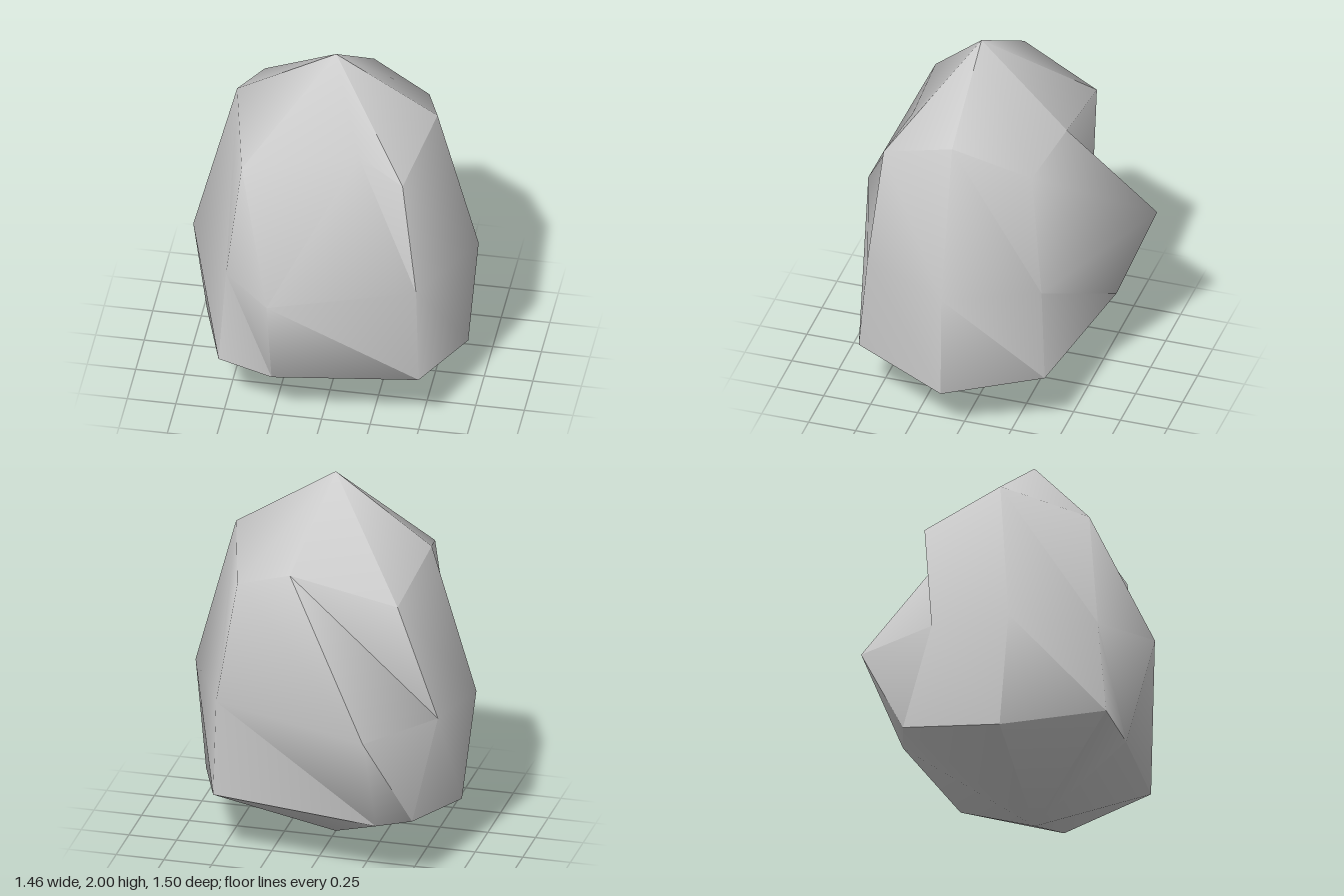
import * as THREE from 'three';
import { toCreasedNormals } from 'three/addons/utils/BufferGeometryUtils.js';

// Rings of the rock, top to bottom; each starts at -x and runs through +z, +x, -z
const RINGS = [
  [[0, 2, 0.07]],
  [[-0.52, 1.67, 0.01], [-0.42, 1.5, 0.45], [0.17, 1.6, 0.38], [0.41, 1.5, 0.46],
   [0.52, 1.67, 0.06], [0.41, 1.5, -0.33], [0.11, 1.62, -0.42], [-0.45, 1.5, -0.4]],
  [[-0.73, 0.85, 0.1], [-0.49, 0.87, 0.51], [-0.24, 0.86, 0.75], [0.49, 0.88, 0.52],
   [0.73, 0.88, 0.05], [0.5, 0.87, -0.41], [-0.36, 0.88, -0.75], [-0.64, 0.87, -0.32]],
  [[-0.67, 0.27, 0.04], [-0.52, 0.36, 0.56], [-0.24, 0.31, 0.6], [0.51, 0.36, 0.56],
   [0.68, 0.27, 0.07], [0.51, 0.36, -0.43], [-0.37, 0.33, -0.53], [-0.55, 0.36, -0.49]],
  [[0, 0, 0.07]],
];

export function createModel() {
  const group = new THREE.Group();
  group.name = 'rock';

  // Coarse sphere with its vertices moved onto the uneven rings
  const sides = 8;
  const geometry = new THREE.SphereGeometry(1, sides, RINGS.length - 1);
  const position = geometry.attributes.position;
  RINGS.forEach((ring, row) => {
    for (let i = 0; i <= sides; i++) {
      position.setXYZ(row * (sides + 1) + i, ...ring[i % ring.length]);
    }
  });

  // Smooth surface with only the strongest ridges kept sharp
  const boulder = new THREE.Mesh(
    toCreasedNormals(geometry, Math.PI / 3),
    new THREE.MeshStandardMaterial({ color: 0xcccccc })
  );
  boulder.name = 'boulder';
  group.add(boulder);
  return group;
}
